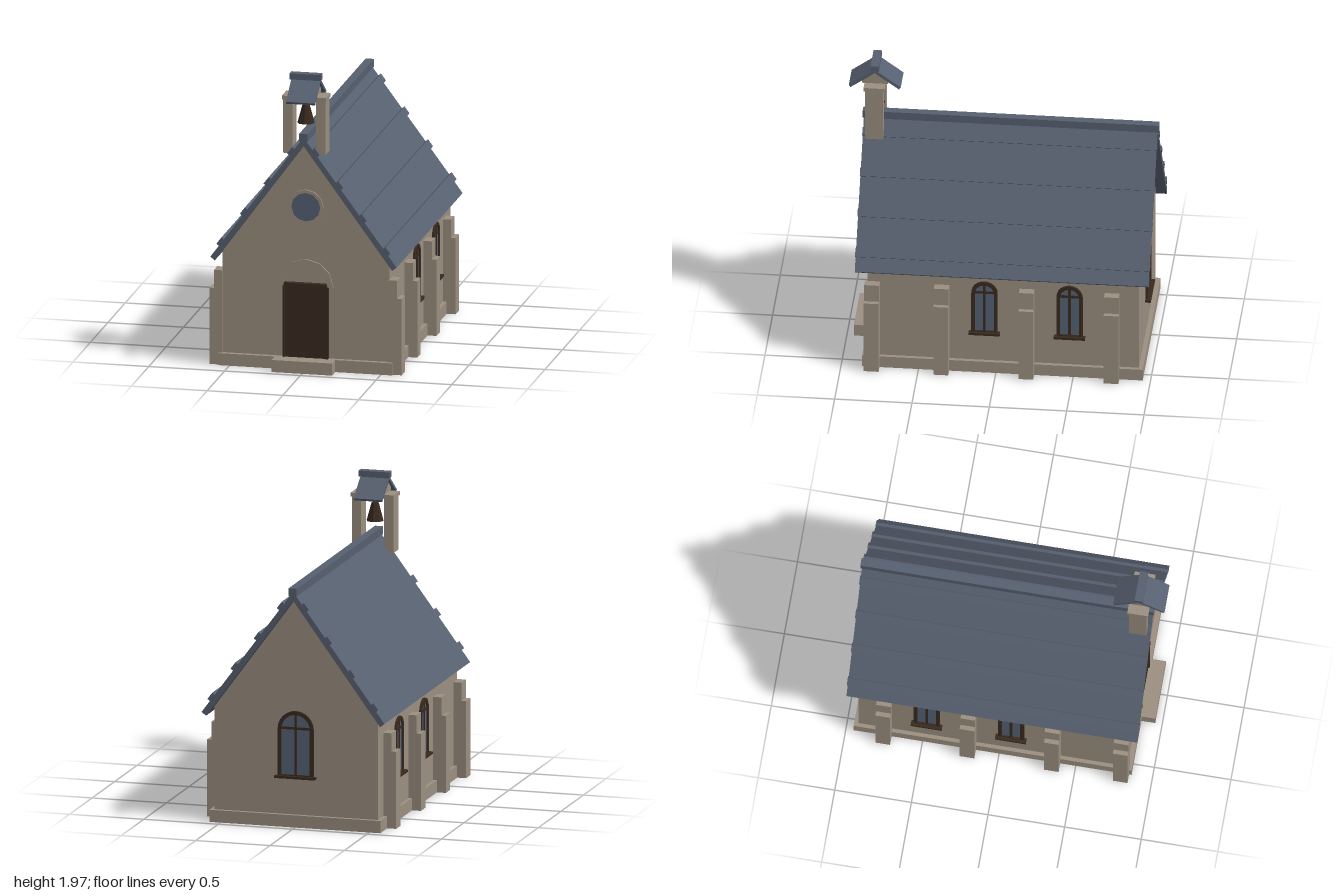
import * as THREE from 'three';

export function createModel() {
  const model = new THREE.Group();
  model.name = 'chapel';

  const mat = (name, color) => {
    const m = new THREE.MeshStandardMaterial({ color, side: THREE.DoubleSide });
    m.name = name;
    return m;
  };
  const stone = mat('stone', 0x9b8f80);
  const slate = mat('slate', 0x576070);
  const wood = mat('darkWood', 0x3a2a1f);
  const glass = mat('glass', 0x566275);

  const add = (name, geo, material, parent = model) => {
    const m = new THREE.Mesh(geo, material);
    m.name = name;
    parent.add(m);
    return m;
  };
  // Box given by its limits on each axis
  const box = (name, material, x0, x1, y0, y1, z0, z1, parent = model) => {
    const m = add(name, new THREE.BoxGeometry(x1 - x0, y1 - y0, z1 - z0), material, parent);
    m.position.set((x0 + x1) / 2, (y0 + y1) / 2, (z0 + z1) / 2);
    return m;
  };
  // Stone box standing on the ground, without its underside
  const groundBox = (name, x0, x1, h, z0, z1, parent = model) => {
    const { geometry } = box(name, stone, x0, x1, 0, h, z0, z1, parent);
    const index = Array.from(geometry.index.array);
    index.splice(18, 6);
    geometry.setIndex(index);
    geometry.clearGroups();
  };
  const poly = (pts) => new THREE.Shape(pts.map(([x, y]) => new THREE.Vector2(x, y)));
  const extrude = (shape, depth, curveSegments = 6) =>
    new THREE.ExtrudeGeometry(shape, { depth, bevelEnabled: false, curveSegments });

  // Walls with both gables
  const walls = add('walls', extrude(poly([
    [-0.55, 0.075], [0.55, 0.075], [0.55, 0.762], [0, 1.51], [-0.55, 0.762],
  ]), 1.755), stone);
  walls.position.z = -0.922;

  // Plinth bars and door step
  groundBox('plinthLeft', 0.48, 0.575, 0.08, -0.95, 0.865);
  groundBox('plinthRight', -0.575, -0.48, 0.08, -0.95, 0.865);
  groundBox('plinthFront', -0.575, 0.575, 0.08, 0.77, 0.865);
  groundBox('plinthBack', -0.575, 0.575, 0.08, -0.95, -0.855);
  groundBox('doorStep', -0.2, 0.2, 0.08, 0.865, 0.955);

  // Stepped buttresses
  for (const s of [-1, 1]) {
    for (const z of [0.8, 0.35, -0.2, -0.75]) {
      const b = new THREE.Group();
      b.name = 'buttress';
      groundBox('buttressLower', -0.032, 0.055, 0.508, -0.048, 0.048, b);
      box('buttressUpper', stone, -0.032, 0.025, 0.508, 0.628, -0.048, 0.048, b);
      b.position.set(s * 0.58, 0, z);
      if (s < 0) b.rotation.y = Math.PI;
      model.add(b);
    }
  }

  // Main roof
  const roof = add('roof', extrude(poly([
    [0, 1.505], [0.585, 0.708], [0.615, 0.731], [0, 1.562], [-0.615, 0.731], [-0.585, 0.708],
  ]), 1.898), slate);
  roof.position.z = -0.99;
  box('ridgeCap', slate, -0.027, 0.027, 1.535, 1.587, -1, 0.915);

  // Raised slate courses on both slopes
  const slope = Math.atan(1.35);
  for (const s of [-1, 1]) {
    for (const y of [0.832, 1.042, 1.252, 1.462]) {
      const x = (1.565 - y) / 1.35;
      const course = add('slateCourse', new THREE.BoxGeometry(0.055, 0.03, 1.905), slate);
      course.position.set(s * (x + 0.003), y + 0.001, -0.042);
      course.rotation.z = -s * slope;
    }
  }

  // Arched window, facing +z, base at y = 0, with half width w and straight height h
  const arch = (w, y0, spring) => {
    const sh = new THREE.Shape();
    sh.moveTo(-w, y0);
    sh.lineTo(w, y0);
    sh.lineTo(w, spring);
    sh.absarc(0, spring, w, 0, Math.PI, false);
    sh.lineTo(-w, y0);
    return sh;
  };
  const addWindow = (x, y, z, turn, w, h) => {
    const g = new THREE.Group();
    g.name = 'archedWindow';
    const inner = w - 0.024;
    const frame = arch(w, 0, h);
    frame.holes.push(arch(inner, 0.015, h));
    add('windowFrame', extrude(frame, 0.015), wood, g);
    add('windowPane', new THREE.ShapeGeometry(arch(inner + 0.002, 0.01, h), 6), glass, g).position.z = 0.005;
    box('mullion', wood, -0.008, 0.008, 0.01, h + inner, 0, 0.012, g);
    box('transom', wood, -inner, inner, h - 0.002, h + 0.014, 0, 0.012, g);
    box('sill', wood, -w - 0.016, w + 0.016, -0.008, 0.008, -0.005, 0.036, g);
    g.position.set(x, y, z);
    g.rotation.y = turn;
    model.add(g);
  };
  for (const s of [-1, 1]) {
    for (const z of [0.075, -0.475]) addWindow(s * 0.55, 0.29, z, s * Math.PI / 2, 0.085, 0.295);
  }
  addWindow(0, 0.328, -0.922, Math.PI, 0.12, 0.315);

  // Door with posts and lintel
  box('door', wood, -0.137, 0.137, 0.08, 0.555, 0.82, 0.852);
  for (const s of [-1, 1]) {
    box('doorPost', wood, s * 0.143 - 0.007, s * 0.143 + 0.007, 0.08, 0.555, 0.82, 0.86);
  }
  box('doorLintel', wood, -0.14, 0.14, 0.553, 0.577, 0.82, 0.867);

  // Stone hood above the door
  const hoodPts = [];
  for (let i = 0; i <= 6; i++) hoodPts.push([0.182 * Math.cos(i * Math.PI / 6), 0.182 * Math.sin(i * Math.PI / 6)]);
  for (let i = 6; i >= 0; i--) hoodPts.push([0.145 * Math.cos(i * Math.PI / 6), 0.145 * Math.sin(i * Math.PI / 6)]);
  add('doorHood', extrude(poly(hoodPts), 0.025), stone).position.set(0, 0.552, 0.82);

  // Round window in the front gable
  const ring = (r) => Array.from({ length: 12 }, (_, i) =>
    [r * Math.cos(i * Math.PI / 6), r * Math.sin(i * Math.PI / 6)]);
  const rim = poly(ring(0.117));
  rim.holes.push(poly(ring(0.096)));
  add('roundWindowRim', extrude(rim, 0.025), stone).position.set(0, 1.08, 0.82);
  add('roundWindowPane', new THREE.CircleGeometry(0.098, 12), glass).position.set(0, 1.08, 0.841);

  // Bell turret: posts, lintel, gable block, small roof and cap
  const turret = new THREE.Group();
  turret.name = 'bellTurret';
  turret.position.z = 0.83;
  model.add(turret);
  for (const s of [-1, 1]) {
    box('turretPost', stone, s * 0.109 - 0.031, s * 0.109 + 0.031, 1.447, 1.805, -0.057, 0.057, turret);
  }
  box('turretLintel', stone, -0.145, 0.145, 1.805, 1.83, -0.068, 0.068, turret);
  const gable = add('turretGable', extrude(poly([[-0.085, 1.83], [0.085, 1.83], [0.085, 1.85], [0, 1.915], [-0.085, 1.85]]), 0.16), stone, turret);
  gable.rotation.y = Math.PI / 2;
  gable.position.x = -0.08;
  const cover = add('turretRoof', extrude(poly([
    [0, 1.915], [0.157, 1.802], [0.168, 1.817], [0, 1.94], [-0.168, 1.817], [-0.157, 1.802],
  ]), 0.19), slate, turret);
  cover.rotation.y = Math.PI / 2;
  cover.position.x = -0.095;
  box('turretRidge', slate, -0.103, 0.103, 1.93, 1.97, -0.027, 0.027, turret);

  // Bell
  const bellGeo = new THREE.CylinderGeometry(0.024, 0.057, 0.12, 8).toNonIndexed();
  bellGeo.computeVertexNormals();
  add('bell', bellGeo, wood, turret).position.y = 1.702;

  return model;
}
